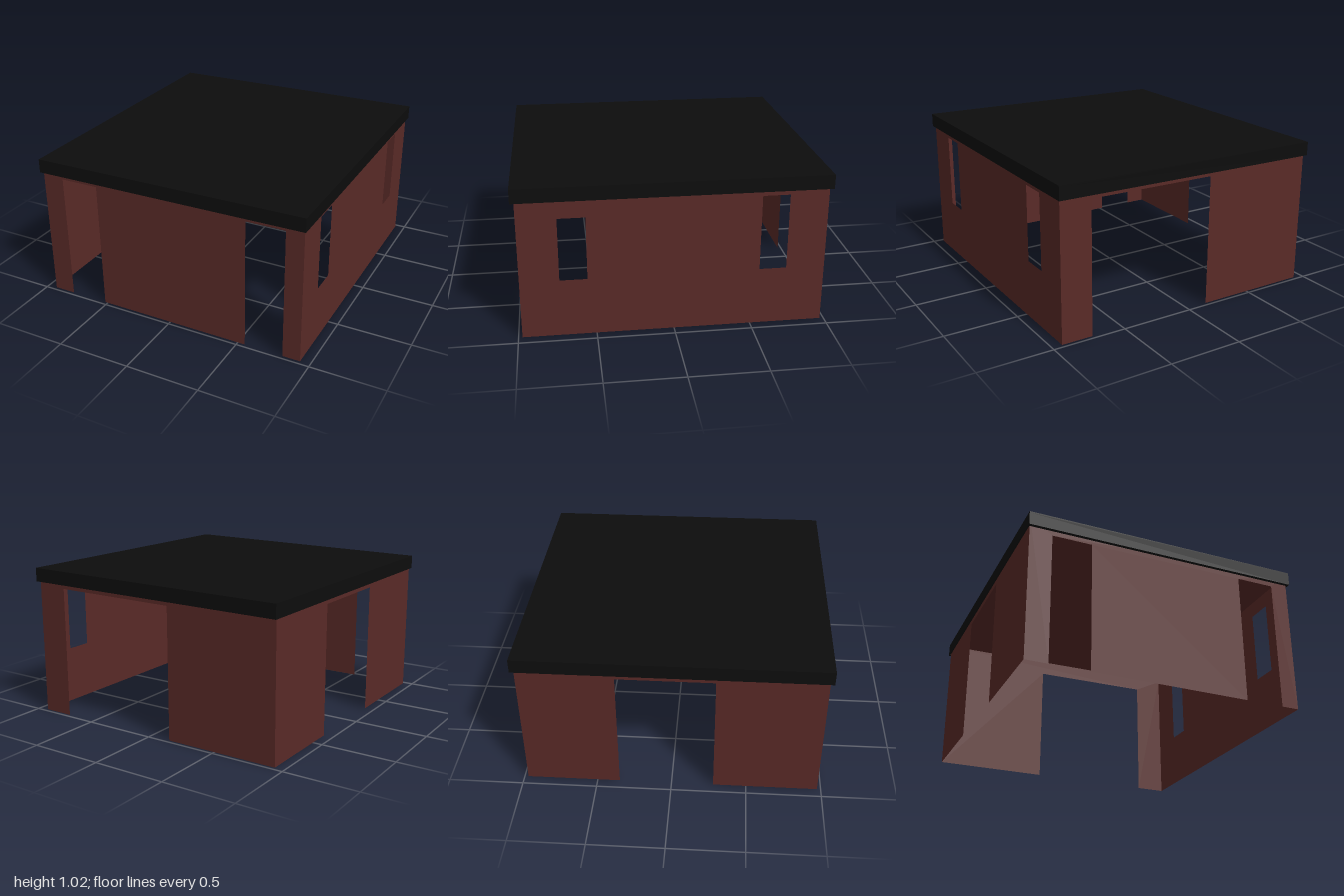
import * as THREE from 'three';

const SLOPE = 0.0101; // the roof rises gently towards +x
const X0 = -0.935, X1 = 0.932, Z = 0.975;
const lintel = (x) => 0.885 + SLOPE * x;
const ceilingY = (x) => 0.992 + SLOPE * x;

// Tilt a geometry along x to follow the roof
function tilt(geo) {
  const p = geo.attributes.position;
  for (let i = 0; i < p.count; i++) p.setY(i, p.getY(i) + SLOPE * p.getX(i));
  geo.computeVertexNormals();
  return geo;
}

function rect(path, x0, y0, x1, y1) {
  path.moveTo(x0, y0);
  path.lineTo(x1, y0);
  path.lineTo(x1, y1);
  path.lineTo(x0, y1);
  path.closePath();
  return path;
}

// Thin wall from a to b; xAt gives the model x for a position along the wall
function wallGeometry(a, b, xAt, doors, windows = []) {
  const s = new THREE.Shape();
  s.moveTo(a, 0);
  for (const [d0, d1] of doors) {
    s.lineTo(d0, 0);
    s.lineTo(d0, lintel(xAt(d0)));
    s.lineTo(d1, lintel(xAt(d1)));
    s.lineTo(d1, 0);
  }
  s.lineTo(b, 0);
  s.lineTo(b, ceilingY(xAt(b)));
  s.lineTo(a, ceilingY(xAt(a)));
  s.closePath();
  for (const [w0, w1, y0] of windows) {
    s.holes.push(rect(new THREE.Path(), w0, y0, w1, lintel(xAt(w0))));
  }
  return new THREE.ShapeGeometry(s);
}

export function createModel() {
  const model = new THREE.Group();
  const wallMat = new THREE.MeshStandardMaterial({ color: 0x5a2a27, side: THREE.DoubleSide });
  const roofMat = new THREE.MeshStandardMaterial({ color: 0x0d0d0d });

  const add = (name, geo, mat) => {
    const mesh = new THREE.Mesh(geo, mat);
    mesh.name = name;
    model.add(mesh);
    return mesh;
  };

  // Front wall with two doorways, back wall with one wide opening
  const along = (x) => x;
  add('frontWall', wallGeometry(X0, X1, along, [[-0.785, -0.52], [0.55, 0.812]]), wallMat).position.z = Z;
  const back = wallGeometry(-X1, -X0, (u) => -u, [[-0.72, 0.15]]);
  add('backWall', back.rotateY(Math.PI), wallMat).position.z = -Z;

  // Side walls: two tall windows on +x, a wide opening on -x
  const right = wallGeometry(-Z, Z, () => X1, [], [[-0.725, -0.55, 0.39], [0.55, 0.725, 0.39]]);
  add('windowWall', right.rotateY(Math.PI / 2), wallMat).position.x = X1;
  const left = wallGeometry(-Z, Z, () => X0, [[-0.35, 0.28]]);
  add('openSideWall', left.rotateY(-Math.PI / 2), wallMat).position.x = X0;

  // Ceiling inside the roof edge
  const ceiling = new THREE.PlaneGeometry(X1 - X0, 2 * Z).rotateX(Math.PI / 2);
  ceiling.translate((X0 + X1) / 2, 0.992, 0);
  add('ceiling', tilt(ceiling), wallMat);

  // Fascia ring around the wall tops
  const ring = rect(new THREE.Shape(), -0.946, -1, 0.946, 1);
  ring.holes.push(rect(new THREE.Path(), X0 - 0.003, -Z - 0.003, X1 + 0.003, Z + 0.003));
  const fascia = new THREE.ExtrudeGeometry(ring, { depth: 0.083, bevelEnabled: false });
  fascia.rotateX(-Math.PI / 2).translate(0, 0.915, 0);
  add('roofFascia', tilt(fascia), roofMat);

  // Roof deck
  const deck = new THREE.BoxGeometry(1.892, 0.01, 2).translate(0, 1.003, 0);
  add('roofDeck', tilt(deck), roofMat);

  return model;
}
